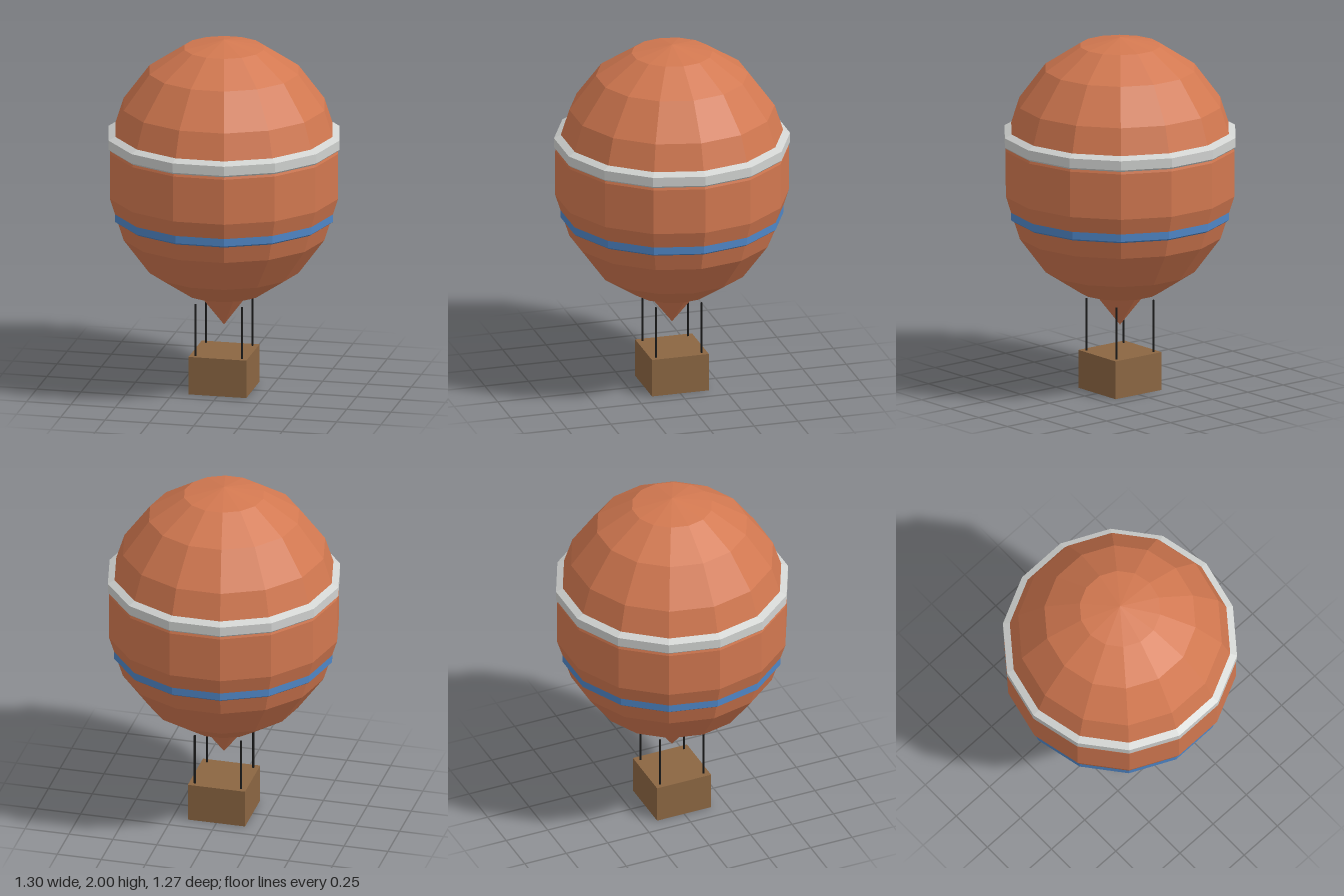
import * as THREE from 'three';

const SIDES = 14;

function material(name, color) {
  const m = new THREE.MeshStandardMaterial({ color, flatShading: true });
  m.name = name;
  return m;
}

export function createModel() {
  const orange = material('terracotta', 0xd27850);
  const silver = material('light grey', 0xd0d2d0);
  const blue = material('blue', 0x4f86c6);
  const wicker = material('wicker brown', 0x8b6642);
  const black = material('rope black', 0x1a1a1a);

  const model = new THREE.Group();
  model.name = 'hotAirBalloon';

  function add(name, geometry, mat, x = 0, y = 0, z = 0) {
    const mesh = new THREE.Mesh(geometry, mat);
    mesh.name = name;
    mesh.position.set(x, y, z);
    model.add(mesh);
    return mesh;
  }

  // A faceted band from a closed profile, corners lined up with the envelope
  function band(name, profile, mat) {
    const points = profile.map(([r, y]) => new THREE.Vector2(r, y));
    add(name, new THREE.LatheGeometry(points, SIDES, Math.PI / 2), mat);
  }

  // Envelope: a faceted sphere, slightly taller than wide
  const envelope = new THREE.SphereGeometry(1, SIDES, 9);
  envelope.scale(0.654, 0.743, 0.654);
  add('envelope', envelope, orange, 0, 1.257, 0);

  // Pointed mouth under the envelope
  const mouth = new THREE.ConeGeometry(0.18, 0.23, 10);
  mouth.rotateX(Math.PI);
  add('mouth', mouth, orange, 0, 0.48, 0);

  // Bands around the envelope
  band('upperBand', [
    [0.58, 1.392], [0.635, 1.395], [0.651, 1.41], [0.651, 1.463], [0.612, 1.483], [0.57, 1.483], [0.58, 1.392],
  ], silver);
  band('lowerBand', [
    [0.57, 0.985], [0.602, 0.985], [0.615, 0.995], [0.615, 1.038], [0.58, 1.05], [0.57, 0.985],
  ], blue);

  // Basket
  add('basket', new THREE.BoxGeometry(0.326, 0.215, 0.326), wicker, 0, 0.1075, 0);

  // Ropes at the basket corners
  const rope = new THREE.CylinderGeometry(0.0065, 0.0065, 0.31, 6);
  for (const x of [-0.131, 0.131]) {
    for (const z of [-0.131, 0.131]) add('rope', rope, black, x, 0.355, z);
  }

  return model;
}
